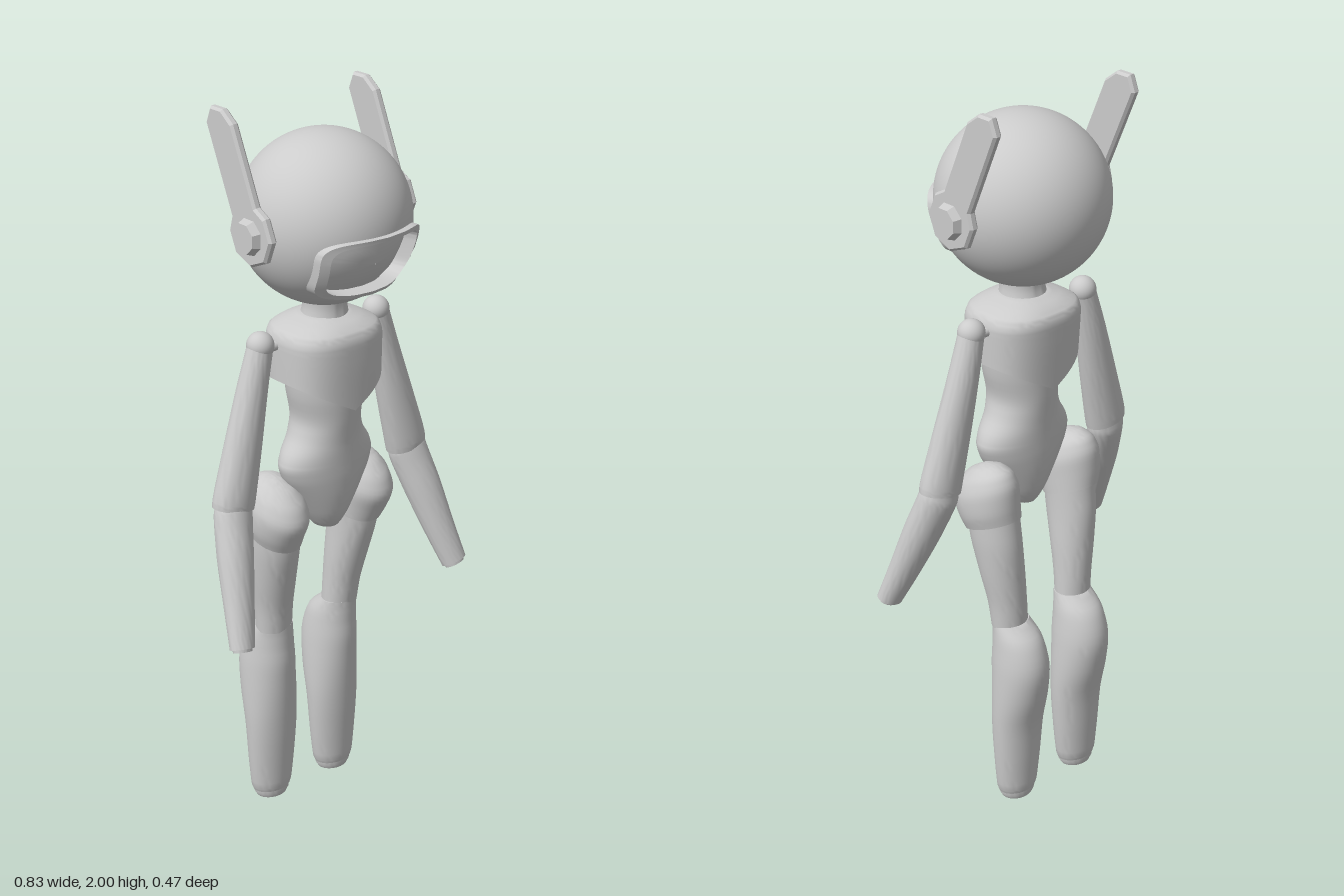
import * as THREE from 'three';
import { toCreasedNormals } from 'three/addons/utils/BufferGeometryUtils.js';

const material = new THREE.MeshStandardMaterial({ color: 0xcccccc, side: THREE.DoubleSide });
const HEAD_Y = 1.705;
const pw = (v, e) => Math.sign(v) * Math.abs(v) ** e;

function add(parent, name, geometry, x = 0, y = 0, z = 0) {
  const mesh = new THREE.Mesh(geometry, material);
  mesh.name = name;
  mesh.position.set(x, y, z);
  parent.add(mesh);
  return mesh;
}

// Skin over closed rings of points
function skin(rows, crease = 0.7) {
  const n = rows[0].length;
  const index = [];
  for (let i = 0; i < rows.length - 1; i++) {
    for (let j = 0; j < n; j++) {
      const a = i * n + j, b = i * n + (j + 1) % n;
      index.push(a, b, a + n, b, b + n, a + n);
    }
  }
  const g = new THREE.BufferGeometry().setFromPoints(rows.flat());
  g.setIndex(index);
  return toCreasedNormals(g, crease);
}

// Smooth body part from sections [x, y, z, rx, rz], top to bottom.
// tilt slopes the rings, power squares them off, hem shifts the height of each ring point.
function loft(sections, { tilt = [0, 0], power = 2, steps = 4, n = 40, hem = null } = {}) {
  const centre = new THREE.CatmullRomCurve3(sections.map(s => new THREE.Vector3(s[0], s[1], s[2])));
  const radii = new THREE.CatmullRomCurve3(sections.map(s => new THREE.Vector3(s[3], s[4], 0)));
  const count = (sections.length - 1) * steps;
  const ring = (t, k) => {
    const c = centre.getPoint(t), r = radii.getPoint(t);
    return Array.from({ length: n }, (_, j) => {
      const a = j / n * Math.PI * 2;
      const dx = k * Math.max(r.x, 0.001) * pw(Math.cos(a), 2 / power);
      const dz = k * Math.max(r.y, 0.001) * pw(Math.sin(a), 2 / power);
      const dy = tilt[0] * dx + tilt[1] * dz + (hem ? hem(t, dx) : 0);
      return new THREE.Vector3(c.x + dx, c.y + dy, c.z + dz);
    });
  };
  const rows = [ring(0, 0.01)];
  for (let i = 0; i <= count; i++) rows.push(ring(i / count, 1));
  rows.push(ring(1, 0.01));
  return skin(rows);
}

// Visor outline: a rounded box, narrower at the bottom
const VISOR = { w: 0.16, h: 0.083, y: 1.628, e: 4.5 };
const visorWidth = v => VISOR.w * (1 + 0.05 * v);
function visorGeometry() {
  const n = 72;
  // [outline scale, distance from head centre]: raised rim, then sunken face
  const rows = [[1, 0.215], [1, 0.24], [0.87, 0.238], [0.84, 0.205], [0.6, 0.205], [0.3, 0.205], [0.01, 0.205]];
  return skin(rows.map(([k, r]) => Array.from({ length: n }, (_, j) => {
    const a = j / n * Math.PI * 2;
    const v = pw(Math.sin(a), 2 / VISOR.e);
    const x = k * visorWidth(v) * pw(Math.cos(a), 2 / VISOR.e);
    const y = VISOR.y + k * VISOR.h * v;
    return new THREE.Vector3(x, y, Math.sqrt(Math.max(0, r * r - x * x - (y - HEAD_Y) ** 2)));
  })), 0.6);
}

// Head ball with the visor opening left out
function headGeometry() {
  const g = new THREE.SphereGeometry(0.225, 160, 120);
  const p = g.attributes.position, old = g.index.array, keep = [];
  for (let i = 0; i < old.length; i += 3) {
    const t = [old[i], old[i + 1], old[i + 2]];
    const mid = f => t.reduce((s, k) => s + p[f](k), 0) / 3;
    const v = (mid('getY') + HEAD_Y - VISOR.y) / VISOR.h;
    const u = mid('getX') / visorWidth(v);
    const inside = mid('getZ') > 0 && Math.abs(u) ** VISOR.e + Math.abs(v) ** VISOR.e < 0.95 ** VISOR.e;
    if (!inside) keep.push(...t);
  }
  g.setIndex(keep);
  return g;
}

// Ear blade: octagonal foot running up into a chamfered strip
function earBlade() {
  const shape = new THREE.Shape([
    [-0.028, -0.068], [0.028, -0.068], [0.068, -0.028], [0.068, 0.028], [0.043, 0.06],
    [0.043, 0.297], [0.015, 0.325], [-0.02, 0.31], [-0.043, 0.27],
    [-0.043, 0.06], [-0.068, 0.028], [-0.068, -0.028],
  ].map(([x, y]) => new THREE.Vector2(x, y)));
  const g = new THREE.ExtrudeGeometry(shape, {
    depth: 0.012, bevelEnabled: true, bevelThickness: 0.007, bevelSize: 0.006, bevelSegments: 1,
  });
  g.translate(0, 0, -0.006);
  g.rotateY(Math.PI / 2);
  g.rotateX(-0.41);
  return g;
}

function addSide(group, s, side) {
  // Ear
  const ear = new THREE.Group();
  ear.name = side + 'Ear';
  ear.position.set(s * 0.233, HEAD_Y, 0);
  group.add(ear);
  add(ear, 'earBlade', earBlade());
  const knob = new THREE.CylinderGeometry(0.04, 0.05, 0.026, 8).rotateY(Math.PI / 8).rotateZ(-s * Math.PI / 2);
  add(ear, 'earKnob', toCreasedNormals(knob, 0.3), s * 0.021);

  // Arm
  add(group, side + 'Shoulder', new THREE.SphereGeometry(0.036, 32, 20), s * 0.197, 1.4, -0.022);
  add(group, side + 'ShoulderPin', new THREE.CylinderGeometry(0.012, 0.012, 0.07, 16).rotateZ(Math.PI / 2),
    s * 0.16, 1.385, -0.022);
  add(group, side + 'UpperArm', loft([
    [s * 0.198, 1.395, -0.022, 0.034, 0.033],
    [s * 0.225, 1.29, -0.022, 0.042, 0.037],
    [s * 0.263, 1.14, -0.017, 0.053, 0.042],
    [s * 0.299, 1.0, -0.012, 0.061, 0.045],
    [s * 0.302, 0.982, -0.012, 0.06, 0.044],
  ], { tilt: [s * 0.2, 0] }));
  add(group, side + 'Forearm', loft([
    [s * 0.3, 0.995, -0.014, 0.05, 0.036],
    [s * 0.306, 0.965, -0.008, 0.055, 0.042],
    [s * 0.328, 0.87, 0.025, 0.052, 0.042],
    [s * 0.356, 0.74, 0.073, 0.043, 0.034],
    [s * 0.378, 0.645, 0.11, 0.036, 0.027],
  ], { tilt: [s * 0.2, 0.4] }));
  add(group, side + 'WristCap', loft([
    [s * 0.377, 0.65, 0.108, 0.03, 0.022],
    [s * 0.379, 0.637, 0.113, 0.028, 0.02],
  ], { tilt: [s * 0.2, 0.4], steps: 1 }));

  // Leg
  add(group, side + 'Hip', loft([
    [s * 0.148, 1.013, -0.016, 0.008, 0.01],
    [s * 0.148, 1.003, -0.016, 0.035, 0.045],
    [s * 0.148, 0.975, -0.017, 0.062, 0.08],
    [s * 0.148, 0.93, -0.02, 0.077, 0.095],
    [s * 0.147, 0.88, -0.032, 0.075, 0.086],
    [s * 0.142, 0.845, -0.04, 0.069, 0.078],
  ], { tilt: [0, -0.35] }));
  add(group, side + 'Thigh', loft([
    [s * 0.14, 0.88, -0.035, 0.066, 0.074],
    [s * 0.138, 0.8, -0.046, 0.064, 0.073],
    [s * 0.13, 0.7, -0.06, 0.06, 0.061],
    [s * 0.122, 0.61, -0.071, 0.054, 0.05],
    [s * 0.118, 0.54, -0.076, 0.052, 0.045],
  ]));
  add(group, side + 'Shin', loft([
    [s * 0.116, 0.552, -0.076, 0.053, 0.046],
    [s * 0.114, 0.51, -0.1, 0.063, 0.07],
    [s * 0.113, 0.43, -0.112, 0.073, 0.083],
    [s * 0.112, 0.34, -0.109, 0.078, 0.075],
    [s * 0.112, 0.24, -0.1, 0.078, 0.06],
    [s * 0.113, 0.12, -0.099, 0.071, 0.051],
    [s * 0.114, 0.035, -0.099, 0.062, 0.045],
    [s * 0.114, 0.022, -0.099, 0.057, 0.042],
  ]));
  add(group, side + 'Foot', loft([
    [s * 0.114, 0.03, -0.099, 0.053, 0.041],
    [s * 0.114, 0.012, -0.099, 0.053, 0.041],
    [s * 0.114, 0, -0.099, 0.046, 0.037],
  ], { steps: 1 }));
}

export function createModel() {
  const group = new THREE.Group();
  group.name = 'robotFigure';

  // Head
  add(group, 'head', headGeometry(), 0, HEAD_Y, -0.003);
  add(group, 'visor', visorGeometry());
  add(group, 'neck', loft([
    [0, 1.52, 0, 0.062, 0.062], [0, 1.475, 0, 0.058, 0.058], [0, 1.43, -0.003, 0.066, 0.066],
  ]));

  // Chest plate with a hem that dips at front and back
  add(group, 'chest', loft([
    [0, 1.452, -0.004, 0.06, 0.058],
    [0, 1.438, -0.004, 0.1, 0.093],
    [0, 1.417, -0.004, 0.14, 0.12],
    [0, 1.39, -0.003, 0.148, 0.126],
    [0, 1.33, -0.002, 0.148, 0.125],
    [0, 1.21, 0, 0.147, 0.12],
  ], { power: 2.6, n: 64, hem: (t, dx) => Math.max(0, t - 0.6) / 0.4 * 0.08 * Math.min(1, Math.abs(dx) / 0.147) }));

  // Waist and pelvis
  add(group, 'torso', loft([
    [0, 1.32, 0, 0.115, 0.105],
    [0, 1.24, 0.002, 0.107, 0.1],
    [0, 1.17, 0.001, 0.094, 0.093],
    [0, 1.12, 0, 0.108, 0.087],
    [0, 1.075, 0, 0.137, 0.084],
    [0, 1.045, 0, 0.146, 0.083],
    [0, 1.01, 0, 0.136, 0.082],
    [0, 0.95, 0, 0.1, 0.076],
    [0, 0.89, 0, 0.063, 0.062],
    [0, 0.85, 0, 0.034, 0.04],
    [0, 0.835, 0, 0.005, 0.008],
  ]));

  addSide(group, 1, 'left');
  addSide(group, -1, 'right');
  return group;
}
